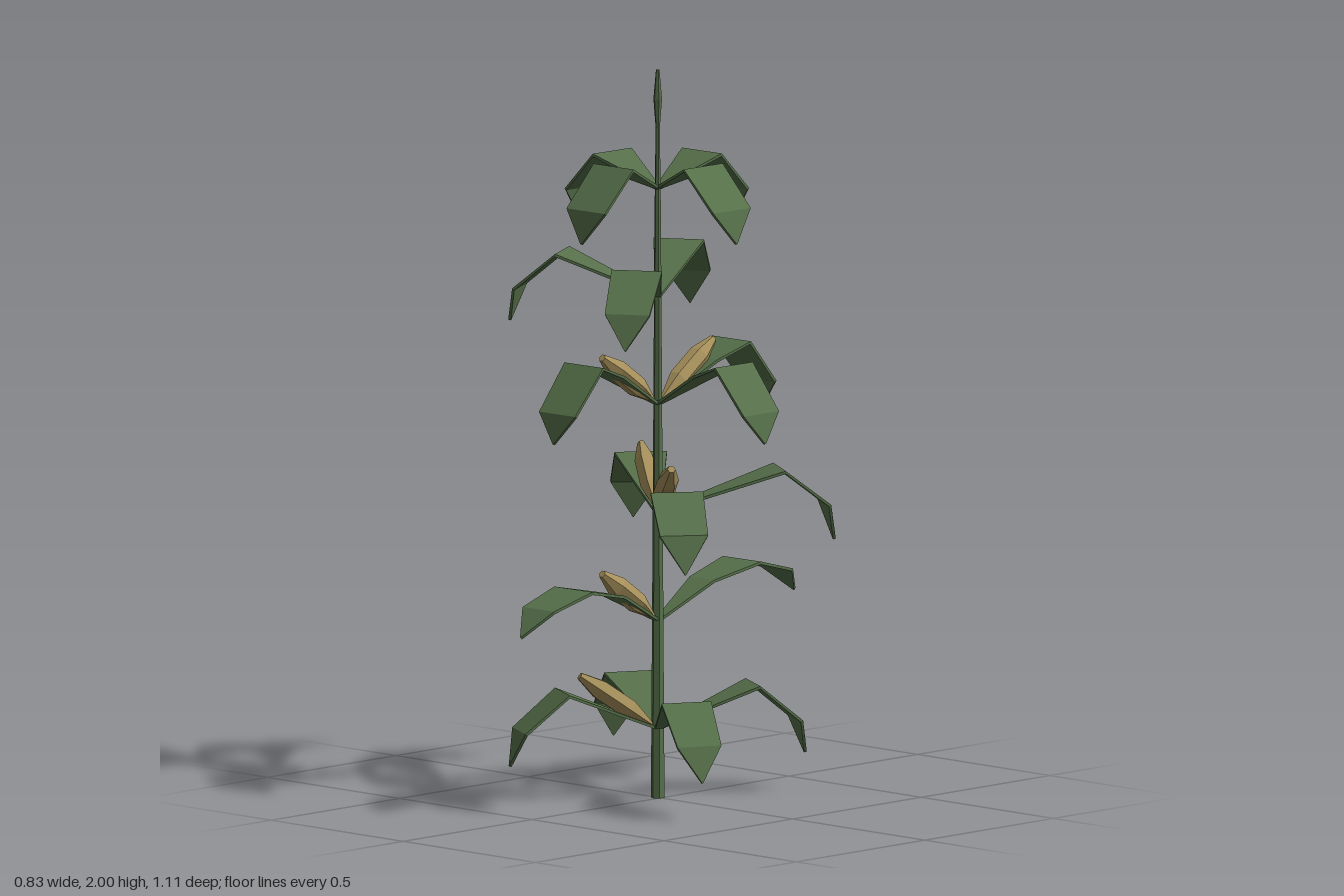
import * as THREE from 'three';

const green = new THREE.MeshStandardMaterial({ color: 0x56704a, flatShading: true });
const gold = new THREE.MeshStandardMaterial({ color: 0xa8925c, flatShading: true });
const rad = THREE.MathUtils.degToRad;

// Thin bent blade along +x; each section is [reach, height, half width]
function leafGeometry(sections, t = 0.004) {
  const pos = [], index = [];
  sections.forEach(([x, y, w], i) => {
    const a = sections[Math.max(i - 1, 0)], b = sections[Math.min(i + 1, sections.length - 1)];
    const len = Math.hypot(b[0] - a[0], b[1] - a[1]);
    const nx = -(b[1] - a[1]) / len * t, ny = (b[0] - a[0]) / len * t;
    pos.push(x + nx, y + ny, -w, x + nx, y + ny, w, x - nx, y - ny, w, x - nx, y - ny, -w);
    if (i === 0) return;
    for (let k = 0; k < 4; k++) {
      const p = (i - 1) * 4 + k, q = (i - 1) * 4 + (k + 1) % 4;
      index.push(p, q, q + 4, p, q + 4, p + 4);
    }
  });
  const geo = new THREE.BufferGeometry();
  geo.setAttribute('position', new THREE.Float32BufferAttribute(pos, 3));
  geo.setIndex(index);
  geo.computeVertexNormals();
  return geo;
}

function lathe(points, sides) {
  return new THREE.LatheGeometry(points.map(([r, y]) => new THREE.Vector2(r, y)), sides);
}

// Leaf shapes
const medium = [[0, 0, 0.008], [0.27, 0.11, 0.07], [0.39, 0.01, 0.062], [0.418, -0.085, 0.001]];
const large = [[0, 0, 0.008], [0.34, 0.107, 0.072], [0.465, 0.01, 0.066], [0.493, -0.093, 0.001]];
const small = [[0, 0, 0.008], [0.178, 0.077, 0.073], [0.288, -0.03, 0.07], [0.307, -0.118, 0.001]];
const arched = [[0, 0, 0.008], [0.19, 0.102, 0.05], [0.297, 0.14, 0.071], [0.403, 0.02, 0.066], [0.419, -0.06, 0.001]];
const long = [[0, 0, 0.008], [0.18, 0.09, 0.045], [0.34, 0.123, 0.07], [0.48, 0.086, 0.058], [0.552, 0.018, 0.001]];

// Tiers from the bottom up; angles run from +x towards +z
const tiers = [
  { shape: medium, leaves: [29, 119, 209, 299], cobs: [120] },
  { shape: long, leaves: [88, 268], cobs: [89] },
  { shape: large, leaves: [37, 218, 302], cobs: [36, 214] },
  { shape: arched, leaves: [2, 88, 268], cobs: [89, 269] },
  { shape: medium, leaves: [58, 152, 238], cobs: [] },
  { shape: small, leaves: [2, 88, 182, 268], cobs: [] },
];

export function createModel() {
  const model = new THREE.Group();
  model.name = 'cornPlant';
  const plant = new THREE.Group();
  plant.name = 'plant';
  plant.position.set(-0.01, 0, 0);
  model.add(plant);

  // Tapered stalk with a closed foot
  const stalk = new THREE.Mesh(lathe([[0, 0], [0.019, 0], [0.009, 1.6], [0.006, 1.84]], 6), green);
  stalk.name = 'stalk';
  // Spindle-shaped tassel
  const tassel = new THREE.Mesh(lathe([[0.005, 1.83], [0.012, 1.92], [0.005, 2], [0, 2]], 6), green);
  tassel.name = 'tassel';
  plant.add(stalk, tassel);

  const cobGeo = lathe([[0, 0], [0.03, 0.1], [0.03, 0.2], [0.011, 0.268], [0, 0.268]], 6);

  tiers.forEach(({ shape, leaves, cobs }, i) => {
    const tier = new THREE.Group();
    tier.name = 'tier' + (i + 1);
    tier.position.y = 0.19 + 0.297 * i;
    const geo = leafGeometry(shape);
    for (const angle of leaves) {
      const leaf = new THREE.Mesh(geo, green);
      leaf.name = 'leaf';
      leaf.rotation.y = -rad(angle);
      tier.add(leaf);
    }
    // Cobs lean outwards from the stalk
    for (const angle of cobs) {
      const cob = new THREE.Mesh(cobGeo, gold);
      cob.name = 'cob';
      cob.rotation.set(0, -rad(angle), -rad(55));
      tier.add(cob);
    }
    plant.add(tier);
  });
  return model;
}
